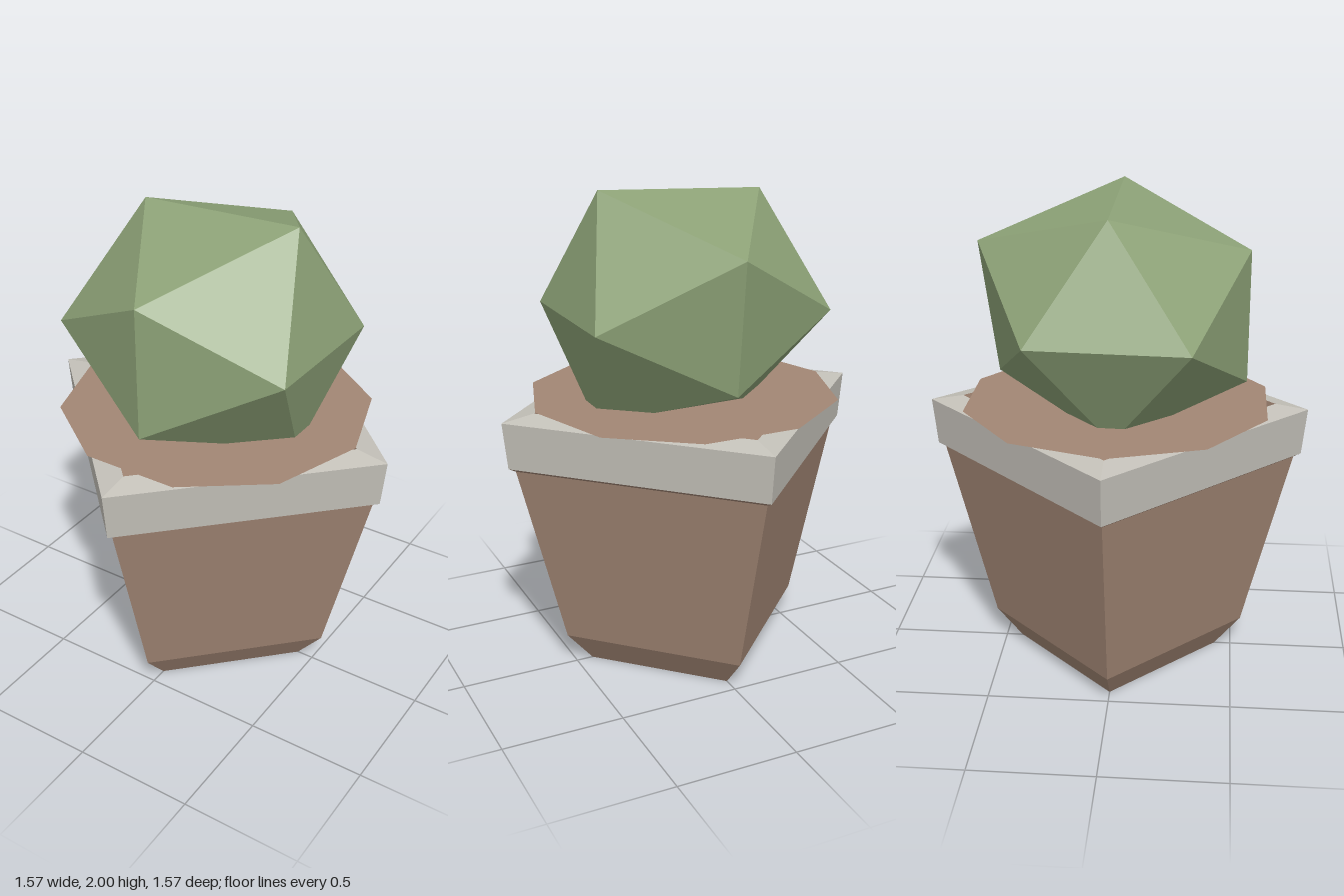
import * as THREE from 'three';
import { ConvexGeometry } from 'three/addons/geometries/ConvexGeometry.js';

const clay = new THREE.MeshStandardMaterial({ color: 0xa28674, flatShading: true, side: THREE.DoubleSide });
clay.name = 'brown clay';
const stone = new THREE.MeshStandardMaterial({ color: 0xc4c1b9, flatShading: true });
stone.name = 'pale grey';
const leaf = new THREE.MeshStandardMaterial({ color: 0x8da277, flatShading: true });
leaf.name = 'leaf green';

export function createModel() {
  const model = new THREE.Group();
  model.name = 'pottedPlant';

  const add = (name, geometry, material) => {
    const mesh = new THREE.Mesh(geometry, material);
    mesh.name = name;
    model.add(mesh);
    return mesh;
  };

  // Four-sided turned section, corners on the x and z axes
  const square = (profile) =>
    new THREE.LatheGeometry(profile.map(([r, y]) => new THREE.Vector2(r, y)), 4);

  // Pot: closed base, bevelled foot, flared walls and a small lip under the rim
  add('potBody', square([[0, 0], [0.43, 0], [0.54, 0.13], [0.735, 0.91], [0.765, 0.925]]), clay);

  // Rim: slightly flared band with a gently sloping top
  add('rim', square([[0.765, 0.925], [0.785, 1.12], [0.65, 1.142]]), stone);

  // Inner wall and floor beneath the soil
  add('potInside', square([[0.65, 1.142], [0.62, 0.95], [0, 0.95]]), clay);

  // Soil: flat ten-sided disc overhanging the rim's straight sides
  const soil = add('soil', new THREE.CircleGeometry(0.645, 10), clay);
  soil.rotation.x = -Math.PI / 2;
  soil.position.y = 1.145;

  // Plant: slightly irregular twenty-faced ball sunk into the soil
  const corners = [
    [0.36, 2.0, 0], [-0.34, 1.967, -0.01],
    [-0.01, 1.785, 0.53], [-0.01, 1.24, 0.53],
    [0.01, 1.8, -0.565], [0, 1.26, -0.49],
    [-0.54, 1.51, 0.315], [-0.505, 1.51, -0.32],
    [0.498, 1.51, 0.315], [0.502, 1.51, -0.3],
    [-0.3, 1.07, 0], [0.385, 1.06, 0],
  ].map((p) => new THREE.Vector3(...p));
  add('plant', new ConvexGeometry(corners), leaf);

  return model;
}
